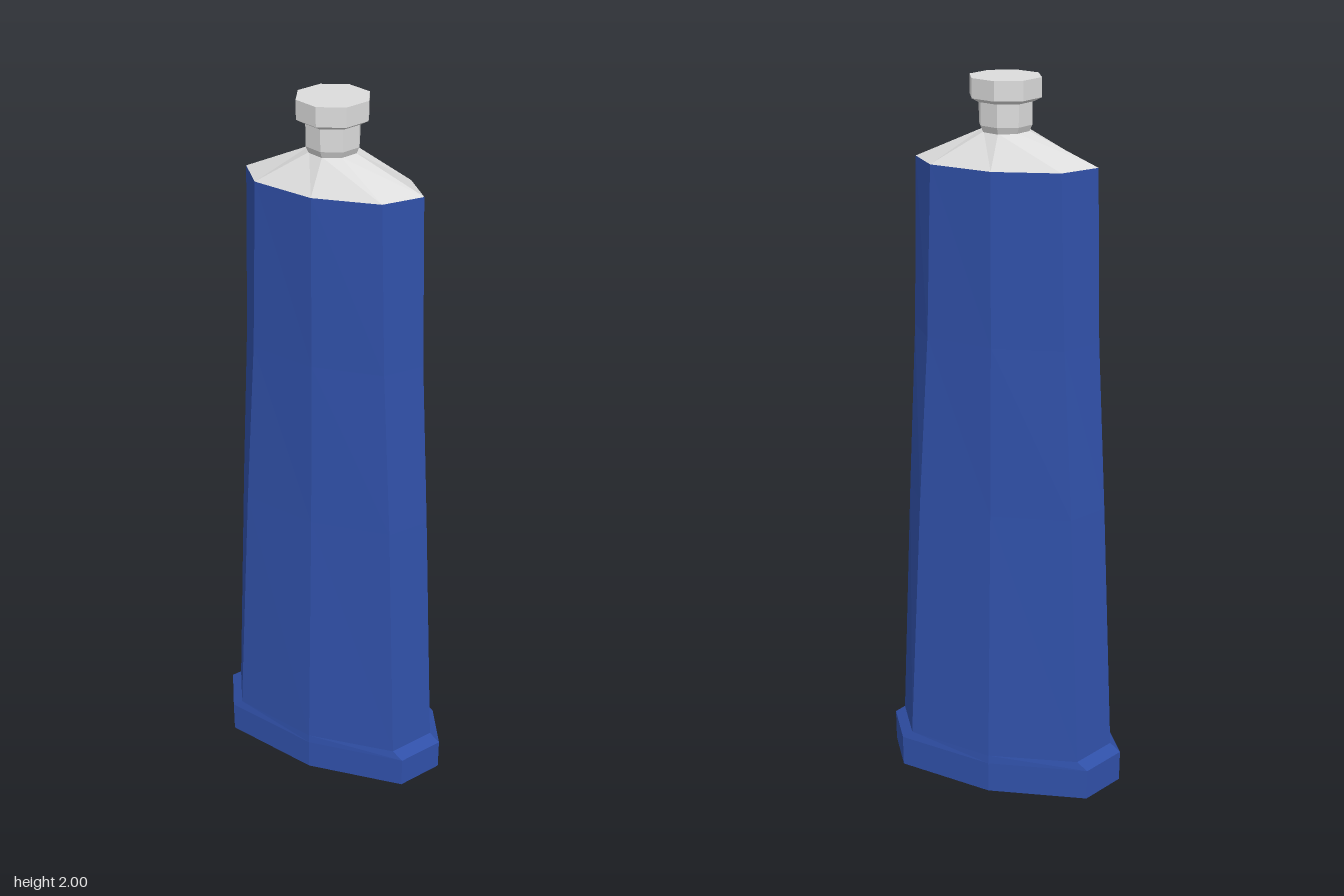
import * as THREE from 'three';

const SIDES = 8;

// Eight-sided ring: a = side tip, (b, c) = diagonal corners, d = front/back tip
function ring(y, a, b, c, d) {
  return [[a, 0], [b, c], [0, d], [-b, c], [-a, 0], [-b, -c], [0, -d], [b, -c]]
    .map(([x, z]) => new THREE.Vector3(x, y, z));
}

const roundRing = (y, r) => ring(y, r, r * 0.707, r * 0.707, r);

// Skin consecutive rings, listed from bottom to top, and close the chosen ends
function loft(name, material, rings, closeBottom, closeTop) {
  const points = [];
  for (let i = 0; i < rings.length - 1; i++) {
    const lo = rings[i], hi = rings[i + 1];
    for (let j = 0; j < SIDES; j++) {
      const k = (j + 1) % SIDES;
      points.push(lo[j], hi[j], hi[k], lo[j], hi[k], lo[k]);
    }
  }
  const last = rings[rings.length - 1];
  for (let j = 1; j < SIDES - 1; j++) {
    if (closeBottom) points.push(rings[0][0], rings[0][j], rings[0][j + 1]);
    if (closeTop) points.push(last[0], last[j + 1], last[j]);
  }
  const geometry = new THREE.BufferGeometry().setFromPoints(points);
  geometry.computeVertexNormals();
  const mesh = new THREE.Mesh(geometry, material);
  mesh.name = name;
  return mesh;
}

export function createModel() {
  const blue = new THREE.MeshStandardMaterial({ color: 0x3050a8, flatShading: true });
  blue.name = 'blue';
  const silver = new THREE.MeshStandardMaterial({ color: 0xdcdcdc, flatShading: true });
  silver.name = 'silver';

  const model = new THREE.Group();
  model.name = 'tube';

  // Wide crimped foot with a bevelled top edge
  const footTop = ring(0.12, 0.318, 0.25, 0.118, 0.164);
  model.add(loft('foot', blue, [
    ring(0, 0.348, 0.28, 0.118, 0.166),
    ring(0.095, 0.348, 0.28, 0.118, 0.166),
    footTop,
  ], true, false));

  // Tapering body
  const bodyTop = ring(1.79, 0.238, 0.168, 0.086, 0.121);
  model.add(loft('body', blue, [
    footTop,
    ring(0.87, 0.279, 0.213, 0.099, 0.136),
    ring(1.34, 0.252, 0.184, 0.09, 0.125),
    bodyTop,
  ], false, false));

  // Sloping shoulder running into the neck
  model.add(loft('shoulder', silver, [bodyTop, roundRing(1.87, 0.06)], false, true));
  model.add(loft('neck', silver, [
    roundRing(1.865, 0.06),
    roundRing(1.885, 0.069),
    roundRing(1.95, 0.069),
  ], true, true));

  // Screw cap
  model.add(loft('cap', silver, [
    roundRing(1.942, 0.074),
    roundRing(1.952, 0.092),
    roundRing(2, 0.092),
  ], true, true));

  return model;
}
